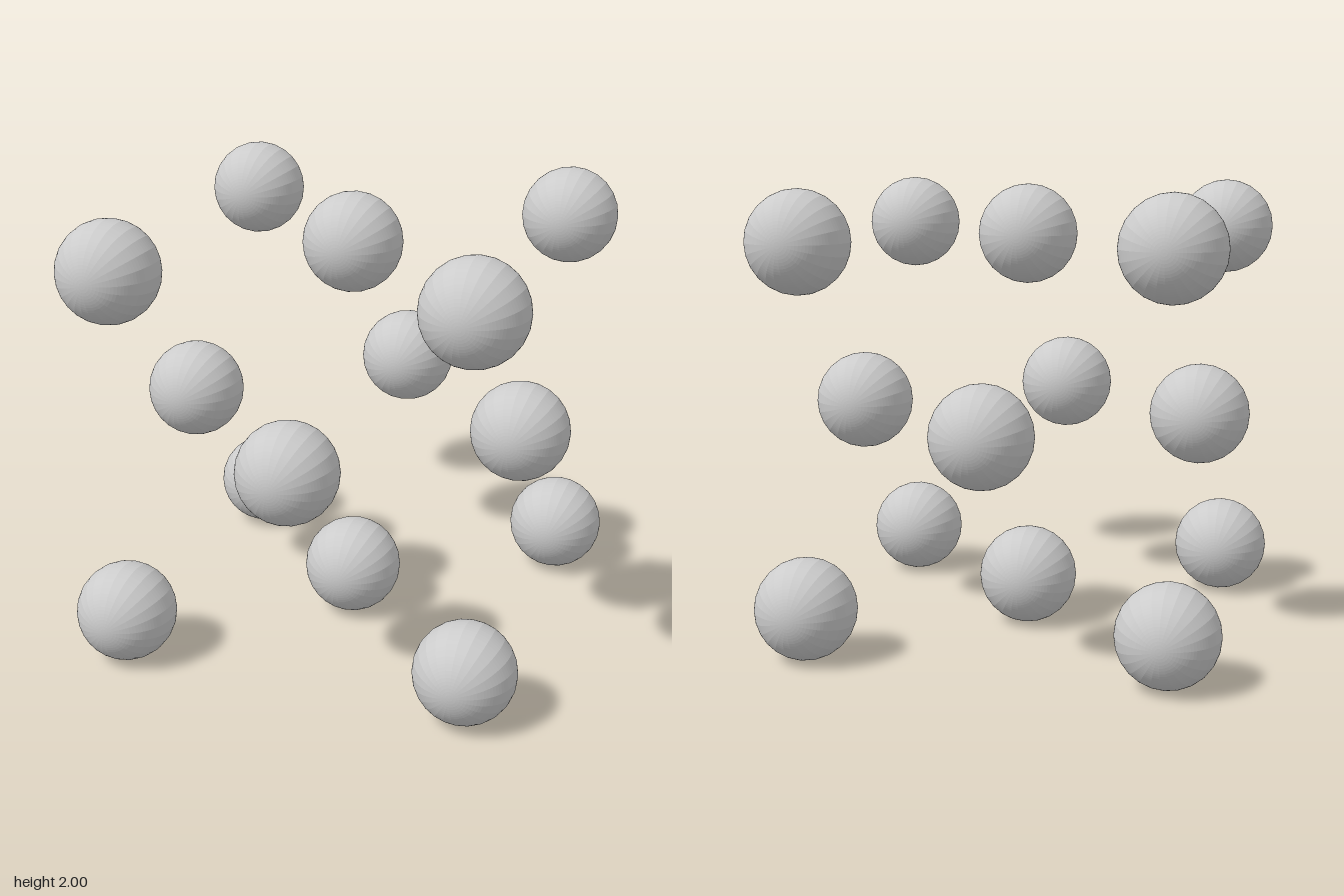
import * as THREE from 'three';

const RADIUS = 0.22;
const STEP = 0.78; // distance between neighbouring lattice layers

export function createModel() {
  const model = new THREE.Group();
  model.name = 'faceCentredCubicLattice';

  const material = new THREE.MeshStandardMaterial({ color: 0xcccccc, flatShading: true });
  // Ball with its poles along z
  const ball = new THREE.SphereGeometry(RADIUS, 24, 48).rotateX(Math.PI / 2);

  const layers = [-1, 0, 1];
  for (const i of layers) for (const j of layers) for (const k of layers) {
    // Keep the eight corners (3 offsets) and six face centres (1 offset)
    const offsets = Math.abs(i) + Math.abs(j) + Math.abs(k);
    if (offsets % 2 === 0) continue;
    const atom = new THREE.Mesh(ball, material);
    atom.name = offsets === 3 ? 'cornerBall' : 'faceCentreBall';
    atom.position.set(i * STEP, 1 + j * STEP, k * STEP);
    model.add(atom);
  }
  return model;
}
